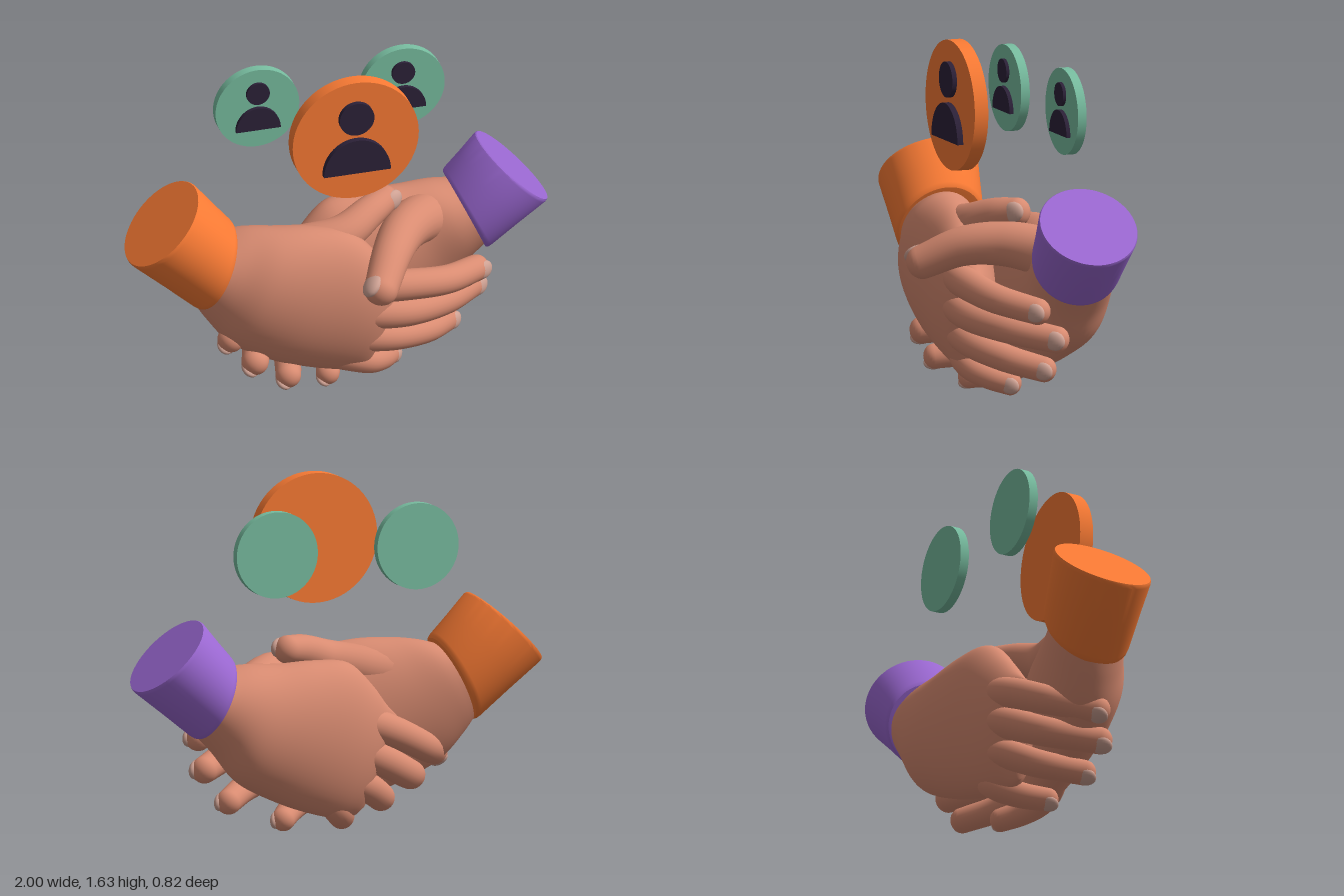
import * as THREE from 'three';
import { toCreasedNormals } from 'three/addons/utils/BufferGeometryUtils.js';

const V = (a) => new THREE.Vector3(...a);
const mat = (color) => new THREE.MeshStandardMaterial({ color });
const skin = mat(0xd88b71), nailMat = mat(0xcfa294), orange = mat(0xf87a34);
const purple = mat(0x9b68d2), green = mat(0x77bc9f), dark = mat(0x2c2138);

function mesh(name, geometry, material, parent) {
  const m = new THREE.Mesh(geometry, material);
  m.name = name;
  parent.add(m);
  return m;
}

// Closed skin over a row of rings; turned outwards by the sign of its volume
function loft(rings) {
  const n = rings[0].length, pts = rings.flat(), idx = [];
  const middle = (r) => r.reduce((s, p) => s.add(p), new THREE.Vector3()).divideScalar(n);
  const a = pts.push(middle(rings[0])) - 1, b = pts.push(middle(rings.at(-1))) - 1;
  const last = (rings.length - 1) * n;
  for (let j = 0; j < n; j++) {
    const k = (j + 1) % n;
    for (let i = 0; i < last; i += n) idx.push(i + j, i + k, i + n + j, i + k, i + n + k, i + n + j);
    idx.push(a, k, j, b, last + j, last + k);
  }
  let volume = 0;
  const c = new THREE.Vector3();
  for (let i = 0; i < idx.length; i += 3) {
    volume += pts[idx[i]].dot(c.crossVectors(pts[idx[i + 1]], pts[idx[i + 2]]));
  }
  if (volume < 0) idx.reverse();
  const g = new THREE.BufferGeometry().setFromPoints(pts);
  g.setIndex(idx);
  g.computeVertexNormals();
  return g;
}

// Oval ring between a top and a bottom point, with half depth d along z
function oval(top, bottom, d, n = 56) {
  const mid = top.clone().add(bottom).multiplyScalar(0.5);
  const half = top.clone().sub(mid);
  return Array.from({ length: n }, (_, i) => {
    const t = (i / n) * Math.PI * 2;
    const p = mid.clone().addScaledVector(half, Math.cos(t));
    p.z += d * Math.sin(t);
    return p;
  });
}

// Palm: each section is [top, bottom, half depth]
function palm(sections) {
  const top = new THREE.CatmullRomCurve3(sections.map((s) => V(s[0])));
  const bottom = new THREE.CatmullRomCurve3(sections.map((s) => V(s[1])));
  const depth = new THREE.SplineCurve(sections.map((s, i) => new THREE.Vector2(i, s[2])));
  const rings = [];
  for (let i = 0; i <= 40; i++) {
    const t = i / 40;
    rings.push(oval(top.getPoint(t), bottom.getPoint(t), depth.getPoint(t).y));
  }
  return loft(rings);
}

// Finger: tapered tube with a domed root and tip
function digit(points, r0, r1) {
  const curve = new THREE.CatmullRomCurve3(points.map(V)), frames = curve.computeFrenetFrames(40);
  const rings = [];
  const ring = (i, r, shift = 0) => {
    const p = curve.getPointAt(i / 40).addScaledVector(frames.tangents[i], shift);
    rings.push(Array.from({ length: 24 }, (_, j) => {
      const a = (j / 24) * Math.PI * 2;
      return p.clone().addScaledVector(frames.normals[i], Math.cos(a) * r)
        .addScaledVector(frames.binormals[i], Math.sin(a) * r);
    }));
  };
  const dome = (i, r, k) => ring(i, Math.cos(k * Math.PI / 16) * r, Math.sin(k * Math.PI / 16) * r * 0.9);
  for (let k = -7; k < 0; k++) dome(0, r0, k);
  for (let i = 0; i <= 40; i++) ring(i, r0 + (r1 - r0) * (i / 40));
  for (let k = 1; k < 8; k++) dome(40, r1, k);
  return { geometry: loft(rings), end: curve.getPointAt(1), dir: frames.tangents[40] };
}

// Nail: flattened ball set into the outer side of a fingertip
function nail({ end, dir }, r, facing, parent) {
  const out = V(facing);
  out.addScaledVector(dir, -out.dot(dir)).normalize();
  const m = mesh('nail', new THREE.SphereGeometry(1, 20, 12), nailMat, parent);
  const side = new THREE.Vector3().crossVectors(dir, out);
  m.quaternion.setFromRotationMatrix(new THREE.Matrix4().makeBasis(side, dir, out));
  m.scale.set(r * 0.72, r * 0.85, r * 0.4);
  m.position.copy(end).addScaledVector(out, r * 0.64).addScaledVector(dir, r * 0.1);
}

function cuff(outer, inner, material, parent) {
  const at = (t, s) => {
    const top = V(outer[0]).lerp(V(inner[0]), t), bottom = V(outer[1]).lerp(V(inner[1]), t);
    const mid = top.clone().add(bottom).multiplyScalar(0.5);
    const d = THREE.MathUtils.lerp(outer[2], inner[2], t) * s;
    return oval(mid.clone().lerp(top, s), mid.clone().lerp(bottom, s), d);
  };
  const profile = [[0, 0.975], [0.02, 0.993], [0.05, 1], [0.5, 0.995],
    [0.92, 1], [0.97, 0.99], [1, 0.96], [1.005, 0.9]];
  mesh('cuff', toCreasedNormals(loft(profile.map((p) => at(...p))), 0.5), material, parent);
}

function hand(name, spec) {
  const g = new THREE.Group();
  g.name = name;
  mesh('palm', palm(spec.palm), skin, g);
  spec.fingers.forEach((path, i) => {
    const r = [0.061, 0.062, 0.058, 0.054][i];
    const f = digit(path, r * 1.3, r);
    mesh(['indexFinger', 'middleFinger', 'ringFinger', 'littleFinger'][i], f.geometry, skin, g);
    nail(f, r, spec.nailFacing, g);
  });
  const t = digit(spec.thumb, 0.125, spec.thumbTip);
  mesh('thumb', t.geometry, skin, g);
  nail(t, spec.thumbTip, spec.thumbNail, g);
  cuff(...spec.cuff, spec.color, g);
  return g;
}

const frontHand = {
  color: orange,
  cuff: [[[-0.675, 1.07, -0.065], [-1.005, 0.745, -0.065], 0.235], [[-0.505, 0.87, -0.03], [-0.69, 0.475, -0.03], 0.21]],
  palm: [
    [[-0.55, 0.83, -0.02], [-0.72, 0.53, -0.03], 0.17],
    [[-0.45, 0.855, 0.01], [-0.65, 0.42, -0.01], 0.185],
    [[-0.32, 0.865, 0.06], [-0.55, 0.3, 0.02], 0.2],
    [[-0.15, 0.86, 0.09], [-0.37, 0.2, 0.05], 0.19],
    [[0.01, 0.82, 0.11], [-0.2, 0.14, 0.06], 0.17],
    [[0.13, 0.7, 0.13], [-0.05, 0.1, 0.06], 0.145],
    [[0.21, 0.61, 0.13], [0.05, 0.08, 0.06], 0.11],
    [[0.27, 0.56, 0.12], [0.11, 0.1, 0.05], 0.03],
  ],
  fingers: [
    [[-0.02, 0.56, 0.12], [0.12, 0.555, 0.165], [0.27, 0.54, 0.165], [0.45, 0.51, 0.12], [0.632, 0.472, -0.01]],
    [[-0.04, 0.43, 0.11], [0.1, 0.42, 0.16], [0.26, 0.4, 0.155], [0.46, 0.37, 0.06], [0.637, 0.338, -0.1]],
    [[-0.06, 0.3, 0.09], [0.06, 0.29, 0.135], [0.2, 0.265, 0.13], [0.38, 0.22, 0.04], [0.515, 0.182, -0.09]],
    [[-0.08, 0.19, 0.07], [0.03, 0.16, 0.1], [0.1, 0.13, 0.085], [0.17, 0.1, 0.03], [0.228, 0.076, -0.04]],
  ],
  nailFacing: [0.3, 0.1, 1],
  thumb: [[-0.42, 0.68, 0], [-0.22, 0.73, 0.03], [-0.02, 0.785, 0.05], [0.12, 0.84, -0.01], [0.22, 0.863, -0.075]],
  thumbTip: 0.065,
  thumbNail: [0.6, 0.1, 1],
};

const backHand = {
  color: purple,
  cuff: [[[0.69, 1.04, -0.17], [1.005, 0.73, -0.17], 0.235], [[0.545, 0.86, -0.195], [0.715, 0.495, -0.195], 0.215]],
  palm: [
    [[0.58, 0.82, -0.2], [0.73, 0.53, -0.2], 0.18],
    [[0.47, 0.83, -0.21], [0.64, 0.43, -0.22], 0.19],
    [[0.32, 0.825, -0.22], [0.54, 0.3, -0.24], 0.185],
    [[0.15, 0.83, -0.22], [0.36, 0.2, -0.22], 0.18],
    [[-0.02, 0.81, -0.21], [0.18, 0.13, -0.2], 0.165],
    [[-0.14, 0.7, -0.2], [0.02, 0.09, -0.17], 0.135],
    [[-0.22, 0.6, -0.18], [-0.07, 0.09, -0.14], 0.105],
    [[-0.28, 0.54, -0.17], [-0.13, 0.12, -0.12], 0.03],
  ],
  fingers: [
    [[0.02, 0.55, -0.2], [-0.12, 0.525, -0.22], [-0.26, 0.47, -0.2], [-0.43, 0.385, -0.12], [-0.55, 0.325, 0.06]],
    [[0.04, 0.43, -0.19], [-0.08, 0.4, -0.215], [-0.2, 0.345, -0.195], [-0.36, 0.26, -0.1], [-0.452, 0.225, 0.12]],
    [[0.06, 0.31, -0.18], [-0.03, 0.275, -0.205], [-0.12, 0.23, -0.18], [-0.23, 0.16, -0.08], [-0.295, 0.13, 0.12]],
    [[0.1, 0.21, -0.18], [0.04, 0.155, -0.185], [0, 0.115, -0.155], [-0.045, 0.08, -0.07], [-0.085, 0.065, 0.04]],
  ],
  nailFacing: [-0.7, -1, 0],
  thumb: [[0.56, 0.66, -0.22], [0.42, 0.7, -0.14], [0.29, 0.73, 0], [0.18, 0.715, 0.17], [0.08, 0.635, 0.335]],
  thumbTip: 0.078,
  thumbNail: [-1, 0.5, 0.4],
};

// Round badge with a head-and-shoulders figure on its front
function badge(name, x, z, r, depth, material) {
  const g = new THREE.Group();
  g.name = name;
  g.position.set(x, 1.335, z);
  mesh('disc', new THREE.CylinderGeometry(r, r, depth, 64).rotateX(Math.PI / 2), material, g);
  const shoulders = new THREE.Shape();
  shoulders.absellipse(0, 0, r * 0.53, r * 0.57, 0, Math.PI, false);
  shoulders.closePath();
  const head = new THREE.Shape().absarc(0, 0, r * 0.275, 0, Math.PI * 2);
  for (const [part, shape, y, thick] of [['shoulders', shoulders, -0.53, 0.095], ['head', head, 0.4, 0.075]]) {
    const geo = new THREE.ExtrudeGeometry(shape, { depth: r * thick, bevelEnabled: false, curveSegments: 32 });
    mesh(part, geo, dark, g).position.set(0, r * y, depth / 2);
  }
  return g;
}

export function createModel() {
  const model = new THREE.Group();
  model.name = 'handshake';
  model.add(hand('frontHand', frontHand), hand('backHand', backHand));
  model.add(badge('centreBadge', 0.01, 0.135, 0.298, 0.066, orange));
  model.add(badge('rightBadge', -0.335, -0.26, 0.198, 0.042, green));
  model.add(badge('leftBadge', 0.352, -0.26, 0.198, 0.042, green));
  return model;
}
